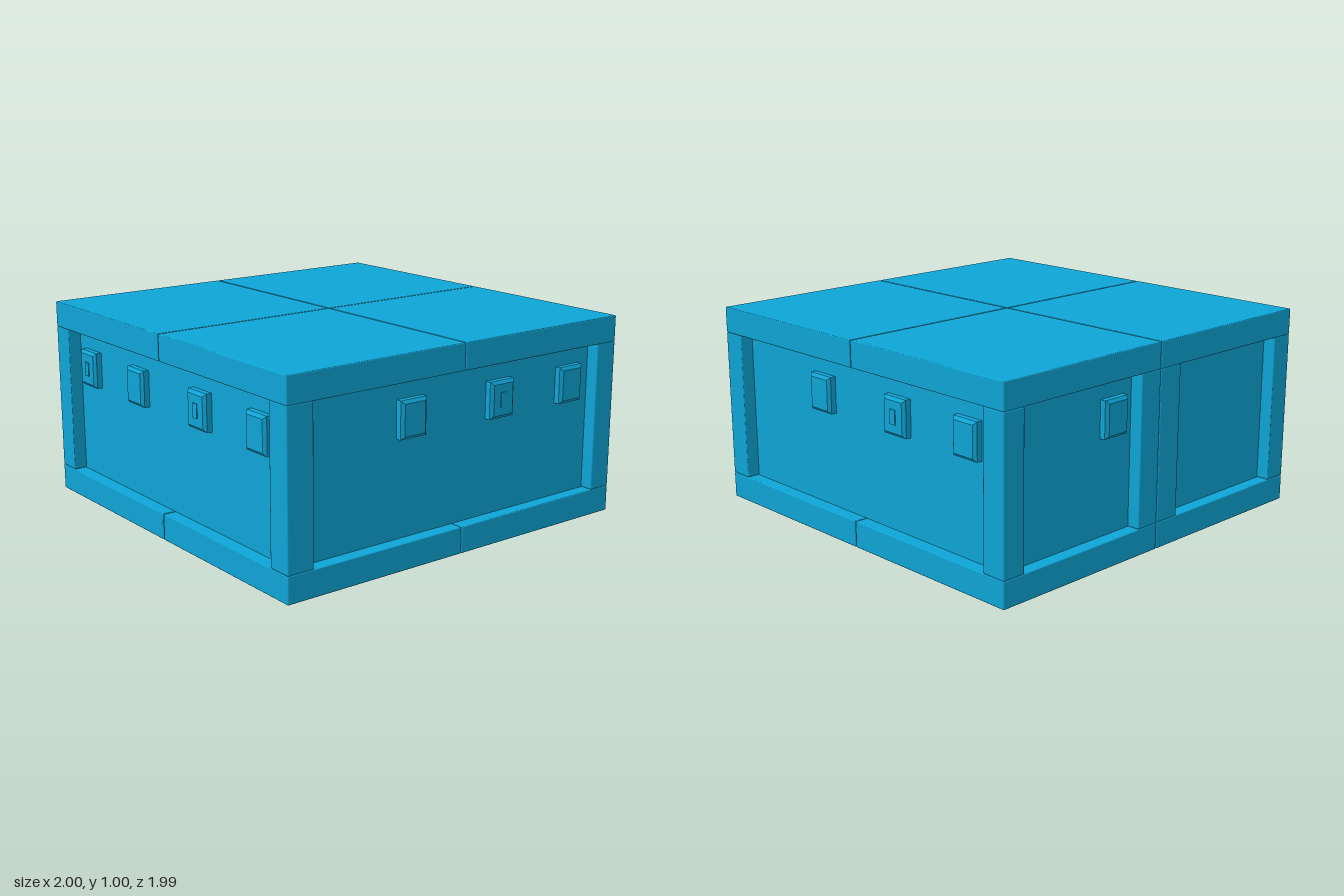
import * as THREE from 'three';
import { RoundedBoxGeometry } from 'three/addons/geometries/RoundedBoxGeometry.js';

const material = new THREE.MeshStandardMaterial({ color: 0x0ea5d6 });
const X = 0.998, Z = 0.993;            // outer half sizes
const SLAB = 0.13, RECESS = 0.065;     // slab height, wall set-back
const GAP = 0.002;

function add(parent, name, geometry, x, y, z) {
  const mesh = new THREE.Mesh(geometry, material);
  mesh.name = name;
  mesh.position.set(x, y, z);
  parent.add(mesh);
  return mesh;
}

// Box given by its limits, with a tiny softened edge
function block(parent, name, x0, x1, y0, y1, z0, z1) {
  const geometry = new RoundedBoxGeometry(x1 - x0, y1 - y0, z1 - z0, 1, 0.005);
  return add(parent, name, geometry, (x0 + x1) / 2, (y0 + y1) / 2, (z0 + z1) / 2);
}

// Plate with chamfered face, facing +z, its back at z = 0
function latchGeometry() {
  const w = 0.06, h = 0.075;
  const s = new THREE.Shape();
  s.moveTo(-w, -h).lineTo(w, -h).lineTo(w, h).lineTo(-w, h).closePath();
  const geometry = new THREE.ExtrudeGeometry(s, {
    depth: 0.028, bevelEnabled: true, bevelSize: 0.015, bevelThickness: 0.013, bevelSegments: 1
  });
  return geometry;
}

export function createModel() {
  const model = new THREE.Group();
  model.name = 'crate';

  // Base and lid, each made of four quarter slabs
  for (const sx of [-1, 1]) {
    for (const sz of [-1, 1]) {
      const x0 = sx < 0 ? -X : GAP, x1 = sx < 0 ? -GAP : X;
      const z0 = sz < 0 ? -Z : GAP, z1 = sz < 0 ? -GAP : Z;
      block(model, 'baseSlab', x0, x1, 0, SLAB, z0, z1);
      block(model, 'lidSlab', x0, x1, 1 - SLAB, 1, z0, z1);
      // Corner post
      const px = 0.872, pz = sx > 0 && sz > 0 ? 0.855 : 0.872;
      block(model, 'cornerPost', sx < 0 ? -X : px, sx < 0 ? -px : X,
        SLAB, 1 - SLAB, sz < 0 ? -Z : pz, sz < 0 ? -pz : Z);
    }
  }

  // Pair of posts in the middle of the left-hand side in plan (-x)
  block(model, 'middlePost', -X, -0.872, SLAB, 1 - SLAB, -0.13, -GAP);
  block(model, 'middlePost', -X, -0.872, SLAB, 1 - SLAB, GAP, 0.14);

  // Recessed walls
  add(model, 'walls', new THREE.BoxGeometry(2 * (X - RECESS), 1 - 2 * SLAB, 2 * (Z - RECESS)), 0, 0.5, 0);

  // Latches per side: turn about y, distance of the wall, positions along it, those with a slot
  const plate = latchGeometry();
  const slot = new THREE.BoxGeometry(0.035, 0.07, 0.008);
  const sides = [
    ['front', 0, Z - RECESS, [-0.735, -0.275, 0.268, 0.73], [0, 2]],
    ['right', Math.PI / 2, X - RECESS, [-0.275, 0.265, 0.725], [1]],
    ['back', Math.PI, Z - RECESS, [-0.275, 0.265, 0.725], [1]],
    ['left', -Math.PI / 2, X - RECESS, [-0.26], []]
  ];
  for (const [name, turn, distance, positions, slotted] of sides) {
    const side = new THREE.Group();
    side.name = name + 'Latches';
    side.rotation.y = turn;
    positions.forEach((p, i) => {
      add(side, 'latch', plate, p, 0.69, distance);
      if (slotted.includes(i)) add(side, 'latchSlot', slot, p, 0.69, distance + 0.041);
    });
    model.add(side);
  }
  return model;
}
